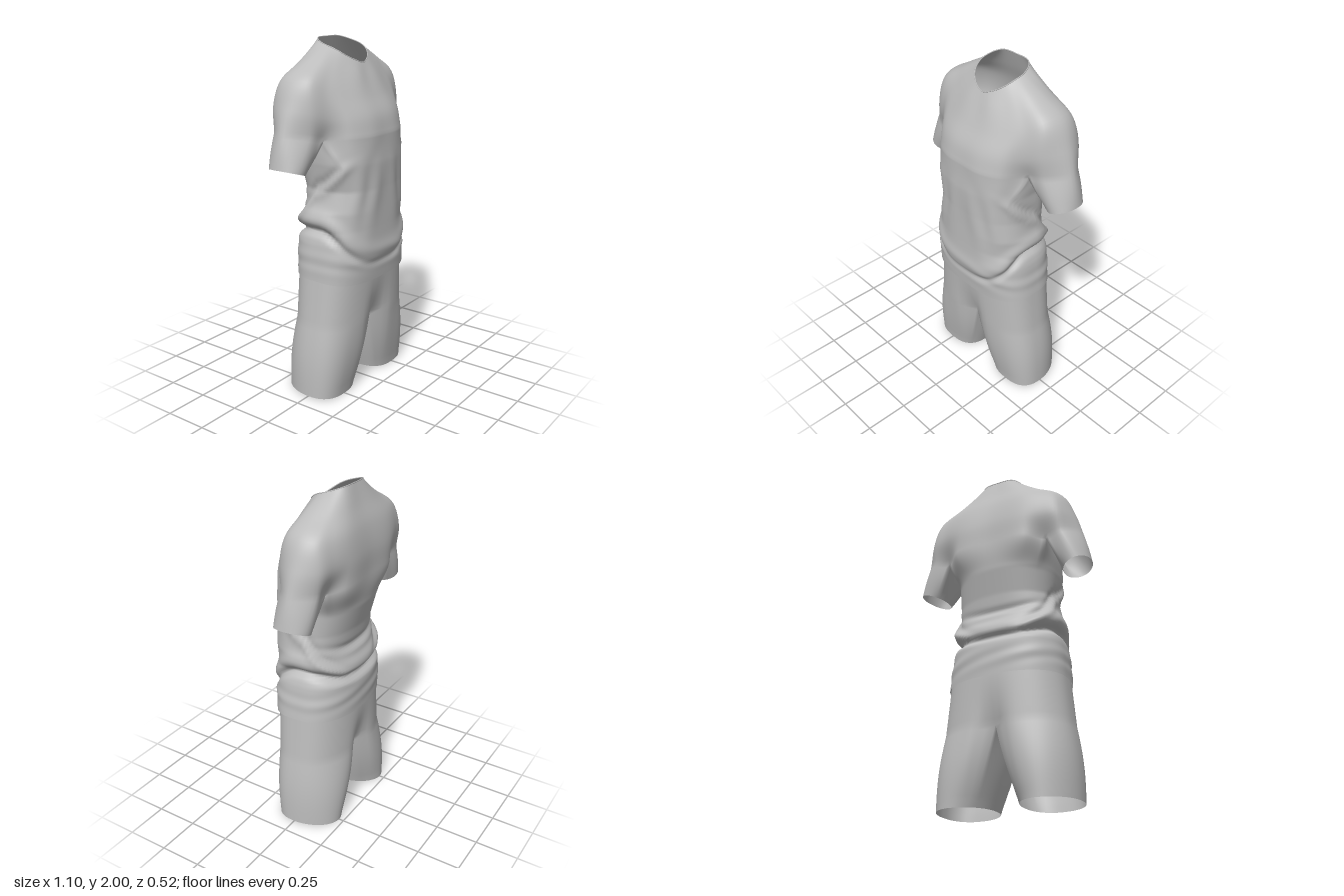
import * as THREE from 'three';
import { mergeGeometries, mergeVertices } from 'three/addons/utils/BufferGeometryUtils.js';

const V = (x, y, z) => new THREE.Vector3(x, y, z);
const { lerp, smoothstep } = THREE.MathUtils;
const S = 6; // samples between two control points
const mirror = (p) => V(-p.x, p.y, p.z);
const mirrorRing = (ring) => ring.map(mirror).reverse();
const bell = (v, w) => Math.exp(-((v / w) ** 2));
const power = (v, e) => (Math.abs(v) < 1e-9 ? 0 : Math.sign(v) * Math.abs(v) ** e);

// Skin a stack of closed rings, listed from top to bottom
function loft(rings) {
  const n = rings[0].length, pos = [], idx = [];
  rings.forEach((r) => r.forEach((p) => pos.push(p.x, p.y, p.z)));
  for (let r = 0; r < rings.length - 1; r++) {
    for (let i = 0; i < n; i++) {
      const a = r * n + i, b = r * n + (i + 1) % n;
      idx.push(a, a + n, b, b, a + n, b + n);
    }
  }
  const g = new THREE.BufferGeometry();
  g.setAttribute('position', new THREE.Float32BufferAttribute(pos, 3));
  g.setIndex(idx);
  return g;
}

// Join lofts along their shared rings into one smooth surface
function weld(parts) {
  const g = mergeVertices(mergeGeometries(parts), 1e-4);
  g.computeVertexNormals();
  return g;
}

// Mirrored closed ring from a half outline: front centre -> side -> back centre
function fullRing(half) {
  const pts = half.map((p) => V(...p));
  const curve = new THREE.CatmullRomCurve3([...pts, ...pts.slice(1, -1).reverse().map(mirror)], true);
  const n = (half.length - 1) * 2 * S;
  return Array.from({ length: n }, (_, i) => curve.getPoint(i / n));
}

// Points strictly between a and b, lifted in the middle
function bridge(a, b, n, lift) {
  return Array.from({ length: n - 1 }, (_, i) => {
    const t = (i + 1) / n, p = a.clone().lerp(b, t);
    p.y += lift * Math.sin(Math.PI * t);
    return p;
  });
}

// Tube from a joining ring to an opening outlined by oval(cos, sin);
// the first arcN points form its outer arc
function limb(top, arcN, centre, oval, steps, swell) {
  const n = top.length;
  const reach = top.map((_, i) => {
    const a = i < arcN ? lerp(0.75, -0.75, i / (arcN - 1)) : lerp(-0.75, -1.25, (i - arcN + 1) / (n - arcN + 1));
    return oval(Math.cos(a * Math.PI), Math.sin(a * Math.PI));
  });
  return Array.from({ length: steps + 1 }, (_, k) => top.map((p, i) => {
    const t = k / steps;
    return p.clone().lerp(centre.clone().add(reach[i]), t).addScaledVector(reach[i], swell * Math.sin(Math.PI * t));
  }));
}

// Yoke levels from the neckline down to the armholes
const yoke = [
  [[0, 1.87, .09], [.05, 1.885, .08], [.1, 1.912, .05], [.125, 1.935, .02], [.14, 1.955, -.02],
    [.145, 1.965, -.05], [.14, 1.975, -.08], [.125, 1.987, -.115], [.09, 1.998, -.145], [0, 2, -.153]],
  [[0, 1.8, .122], [.08, 1.81, .118], [.17, 1.82, .085], [.22, 1.845, .05], [.27, 1.875, 0],
    [.29, 1.882, -.07], [.27, 1.88, -.13], [.23, 1.88, -.165], [.14, 1.89, -.19], [0, 1.9, -.188]],
  [[0, 1.7, .17], [.11, 1.7, .165], [.22, 1.71, .128], [.3, 1.74, .08], [.38, 1.79, .025],
    [.41, 1.802, -.08], [.385, 1.79, -.17], [.31, 1.78, -.21], [.2, 1.78, -.235], [0, 1.79, -.23]],
  [[0, 1.6, .22], [.12, 1.6, .213], [.23, 1.6, .172], [.31, 1.6, .1], [.41, 1.64, .045],
    [.475, 1.66, -.075], [.42, 1.65, -.195], [.32, 1.64, -.228], [.2, 1.65, -.257], [0, 1.66, -.253]],
  [[0, 1.5, .242], [.13, 1.5, .236], [.24, 1.5, .185], [.315, 1.49, .065], [.41, 1.51, .043],
    [.513, 1.53, -.07], [.42, 1.52, -.185], [.32, 1.5, -.175], [.22, 1.52, -.25], [0, 1.53, -.252]],
];

// Shirt body: height, half width at +x, half width at -x, front z, back z
const body = [
  [1.53, .32, .32, .243, -.252], [1.35, .3, .308, .247, -.235], [1.2, .3, .282, .244, -.195],
  [1.08, .315, .312, .244, -.178], [.98, .3, .315, .244, -.2], [.9, .327, .335, .245, -.237],
  [.8, .343, .348, .245, -.238], [.66, .361, .354, .232, -.232],
];

function bodyAt(y) {
  let i = 0;
  while (i < body.length - 2 && y < body[i + 1][0]) i++;
  const t = THREE.MathUtils.clamp((body[i][0] - y) / (body[i][0] - body[i + 1][0]), 0, 1);
  return body[i].map((v, k) => lerp(v, body[i + 1][k], t));
}

// Outward push of the cloth: draped waist roll, side drapes, chest pulls
function folds(y, s, c) {
  const v = y - (s > 0 ? 0.985 - 0.2 * s ** 1.6 : 0.985 - 0.05 * s * s);
  const size = s > 0 ? lerp(0.026, 0.009, s) : 0.026;
  const roll = size * (bell(v - 0.055, 0.05) - 1.2 * bell(v + 0.01, 0.022));
  const back = s < 0 ? 0.012 * s * s * (bell(v - 0.13, 0.025) - bell(v - 0.165, 0.02)) : 0;
  const d = y - (1.22 + 0.26 * s);
  const drape = (0.014 * bell(d + 0.035, 0.035) - 0.013 * bell(d - 0.015, 0.025))
    * smoothstep(Math.abs(c), 0.2, 0.6) * (1 - smoothstep(y, 1.25, 1.42));
  const pull = s > 0 ? 0.005 * Math.cos(Math.abs(c) * 14 - (1.5 - y) * 7) * bell(y - 1.2, 0.18) * s : 0;
  const hem = 0.003 * Math.sin(y * 60 + c * 5) * bell(y - 0.8, 0.06);
  return roll + back + drape + pull + hem;
}

function shirtGeometry() {
  // yoke
  const levels = yoke.map(fullRing), rows = (levels.length - 1) * 6;
  const columns = levels[0].map((_, i) => new THREE.CatmullRomCurve3(levels.map((l) => l[i])));
  const yokeRings = Array.from({ length: rows + 1 }, (_, k) => columns.map((c) => c.getPoint(k / rows)));
  const ring = yokeRings[rows];

  // sleeves
  const under = bridge(ring[3 * S], ring[7 * S], 2 * S, 0.015);
  const arm = [...ring.slice(3 * S, 7 * S + 1), ...under.slice().reverse()];
  const cuff = (c, s) => V(.081 * c, .027 * c, .105 * s);
  const sleeve = limb(arm, 4 * S + 1, V(.47, 1.325, -.065), cuff, 10, .04);

  // trunk
  const half = [...ring.slice(0, 3 * S), ring[3 * S], ...under, ...ring.slice(7 * S, 9 * S + 1)];
  const top = [...half, ...half.slice(1, -1).reverse().map(mirror)];
  const angle = (i) => {
    if (i <= 3 * S) return lerp(90, 30, i / (3 * S));
    if (i <= 5 * S) return lerp(30, -35, (i - 3 * S) / (2 * S));
    return lerp(-35, -90, (i - 5 * S) / (2 * S));
  };
  const steps = 72;
  const trunk = Array.from({ length: steps + 1 }, (_, k) => top.map((p, i) => {
    const left = i < half.length, a = THREE.MathUtils.degToRad(angle(left ? i : top.length - i));
    const s = Math.sin(a), c = Math.cos(a) * (left ? 1 : -1), u = k / steps;
    const y = lerp(p.y, 0.695 - 0.022 * Math.max(s, 0), u);
    const [, wl, wr, zf, zb] = bodyAt(y);
    const push = folds(y, s, c), w = smoothstep(u, 0, 0.22), e = s > 0 ? 0.7 : 0.86;
    const x = power(c, e) * (left ? wl : wr) + c * push;
    const z = 0.005 + power(s, e) * (s > 0 ? zf - 0.005 : 0.005 - zb) + s * push;
    return V(lerp(p.x, x, w), y, lerp(p.z, z, w));
  }));
  return weld([loft(yokeRings), loft(sleeve), loft(sleeve.map(mirrorRing)), loft(trunk)]);
}

function shortsGeometry() {
  // hips narrow to a pinched crotch ring
  const n = 36, steps = 10;
  const hips = Array.from({ length: steps + 1 }, (_, k) => {
    const t = k / steps;
    return Array.from({ length: 2 * n }, (_, i) => {
      const a = Math.PI / 2 - i * Math.PI / n, s = Math.sin(a), e = s > 0 ? 0.7 : 0.88;
      const x = power(Math.cos(a), e) * lerp(.344, .376, t);
      const pinch = 1 - 0.28 * t * t * bell(x, 0.07);
      const z = power(s, e) * (s > 0 ? lerp(.222, .208, t) : lerp(.226, .23, t)) * pinch;
      return V(x, lerp(.74, .43, t), z);
    });
  });
  // legs, squarer at the front and rounder at the back
  const ring = hips[steps];
  const leg = [...ring.slice(0, n + 1), ...bridge(ring[n], ring[0], 14, -0.02)];
  const opening = (c, s) => {
    const e = s > 0 ? 0.74 : 1.08;
    return V(.166 * power(c, e), 0, power(s, e) * (s > 0 ? .146 : .22));
  };
  const rings = limb(leg, n + 1, V(.25, .01, 0), opening, 16, .07);
  rings[16].forEach((p) => { p.y = 0.01 - 0.01 * Math.cos((p.x - .25) * 9); });
  return weld([loft(hips), loft(rings), loft(rings.map(mirrorRing))]);
}

export function createModel() {
  const group = new THREE.Group();
  const cloth = new THREE.MeshStandardMaterial({ color: 0xbcbcbc, side: THREE.DoubleSide });
  cloth.name = 'grey cloth';
  const add = (name, geometry) => {
    const mesh = new THREE.Mesh(geometry, cloth);
    mesh.name = name;
    group.add(mesh);
  };
  add('shirt', shirtGeometry());
  add('shorts', shortsGeometry());
  // thin rolled edge round the neckline
  const neck = new THREE.CatmullRomCurve3(fullRing(yoke[0]), true);
  add('collar', new THREE.TubeGeometry(neck, 96, 0.003, 6, true));
  return group;
}
